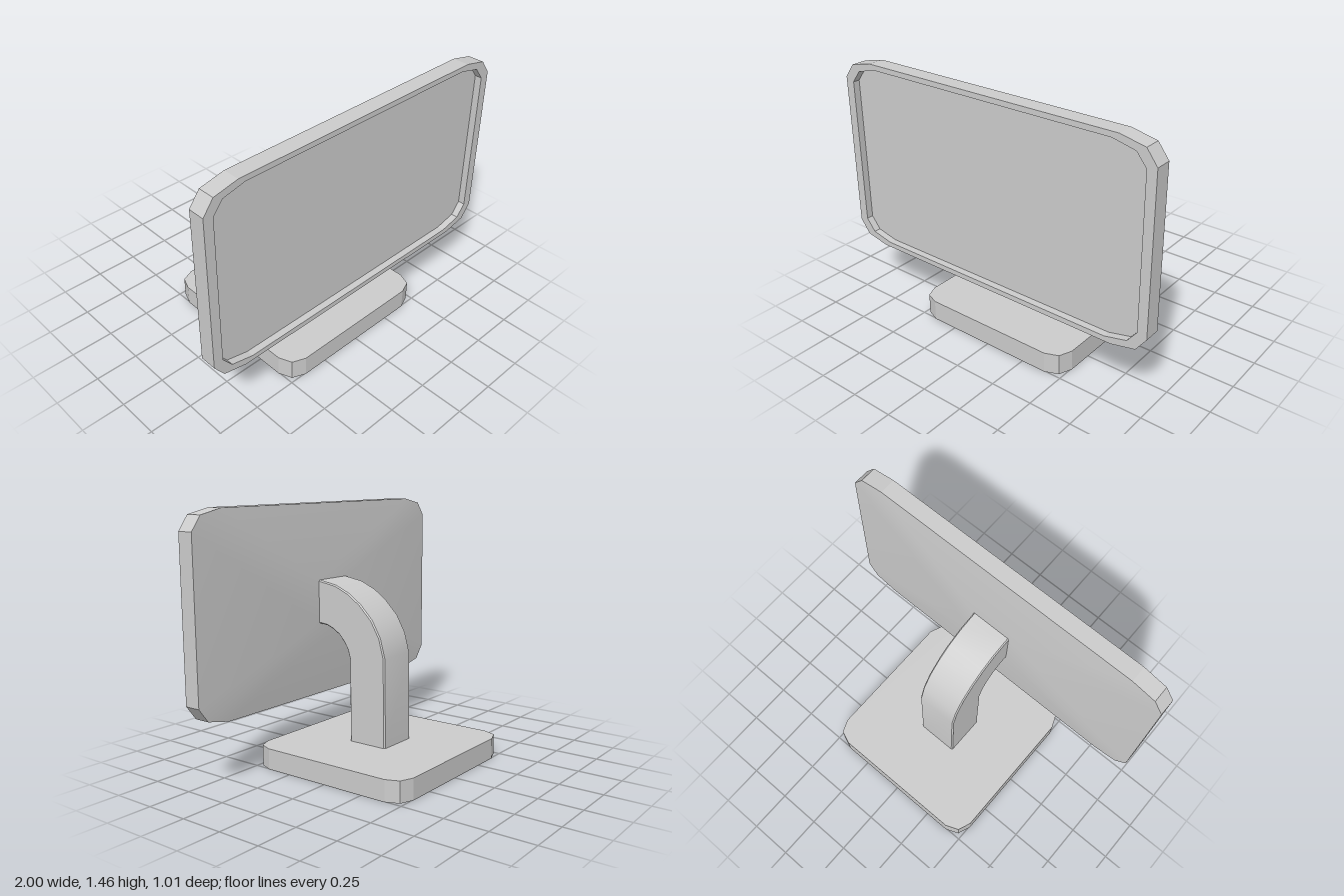
import * as THREE from 'three';
import { toCreasedNormals } from 'three/addons/utils/BufferGeometryUtils.js';

const V = (x, y, z) => new THREE.Vector3(x, y, z);

// Octant-style outline with two-step clipped corners, counter-clockwise; each step is [x, y] in the first quadrant
function outline(steps) {
  const flip = steps.slice().reverse();
  return [
    ...steps,
    ...flip.map(([x, y]) => [-x, y]),
    ...steps.map(([x, y]) => [-x, -y]),
    ...flip.map(([x, y]) => [x, -y]),
  ];
}

// Skin a series of closed rings; optionally close the first and last ring
function loft(rings, crease, capStart, capEnd) {
  const pos = [];
  const tri = (a, b, c) => {
    const area = b.clone().sub(a).cross(c.clone().sub(a)).length();
    if (area > 1e-8) for (const p of [a, b, c]) pos.push(p.x, p.y, p.z);
  };
  const n = rings[0].length;
  for (let r = 0; r < rings.length - 1; r++) {
    for (let i = 0; i < n; i++) {
      const j = (i + 1) % n;
      tri(rings[r][i], rings[r][j], rings[r + 1][j]);
      tri(rings[r][i], rings[r + 1][j], rings[r + 1][i]);
    }
  }
  const last = rings[rings.length - 1];
  for (let i = 1; i < n - 1; i++) {
    if (capStart) tri(rings[0][0], rings[0][i + 1], rings[0][i]);
    if (capEnd) tri(last[0], last[i], last[i + 1]);
  }
  const geo = new THREE.BufferGeometry();
  geo.setAttribute('position', new THREE.Float32BufferAttribute(pos, 3));
  return toCreasedNormals(geo, crease);
}

export function createModel() {
  const group = new THREE.Group();
  const material = new THREE.MeshStandardMaterial({ color: 0xcccccc });
  const add = (name, geometry) => {
    const mesh = new THREE.Mesh(geometry, material);
    mesh.name = name;
    group.add(mesh);
  };

  // Base: square slab with clipped corners
  const baseOutline = outline([[0.505, 0.4], [0.475, 0.475], [0.4, 0.505]]);
  const baseRing = (y) => baseOutline.map(([x, z]) => V(x, y, -z));
  add('base', loft([baseRing(0), baseRing(0.12)], 0.15, true, true));

  // Neck: rectangular section following an outer and an inner bend, as [z, y]
  const outer = [[-0.12, 0.11], [-0.115, 0.63], [-0.085, 0.74], [-0.03, 0.835],
    [0.05, 0.915], [0.13, 0.97], [0.225, 1.01], [0.345, 1.03]];
  const inner = [[0.125, 0.11], [0.127, 0.6], [0.142, 0.65], [0.168, 0.692],
    [0.203, 0.73], [0.245, 0.757], [0.29, 0.774], [0.345, 0.78]];
  const w = 0.122, c = 0.007;
  const neckRings = outer.map(([zo, yo], k) => {
    const [zi, yi] = inner[k];
    const t = c / Math.hypot(zi - zo, yi - yo);
    const section = [[0, c - w], [t, -w], [1 - t, -w], [1, c - w],
      [1, w - c], [1 - t, w], [t, w], [0, w - c]];
    return section.map(([s, x]) => V(x, yo + (yi - yo) * s, zo + (zi - zo) * s));
  });
  add('neck', loft(neckRings, 0.6, true, true));

  // Display housing: sloped back, outer rim, front bezel and recess wall
  const midY = 0.905;
  const ring = (steps, z) => outline(steps).map(([x, y]) => V(x, midY + y, z));
  const rim = [[1, 0.445], [0.94, 0.525], [0.8, 0.555]];
  const opening = [[0.945, 0.425], [0.89, 0.495], [0.76, 0.525]];
  const joint = [[0.122, 0.125], [0.122, 0.125], [0.122, 0.125]];
  const recessZ = 0.45;
  add('displayHousing', loft([
    ring(joint, 0.345), ring(rim, 0.395), ring(rim, 0.49),
    ring(opening, 0.49), ring(opening, recessZ),
  ], 0.15, true, false));

  // Screen: flat panel at the bottom of the recess
  const panel = new THREE.ShapeGeometry(
    new THREE.Shape(outline(opening).map(([x, y]) => new THREE.Vector2(x, y))));
  panel.translate(0, midY, recessZ);
  add('screen', panel);

  return group;
}
